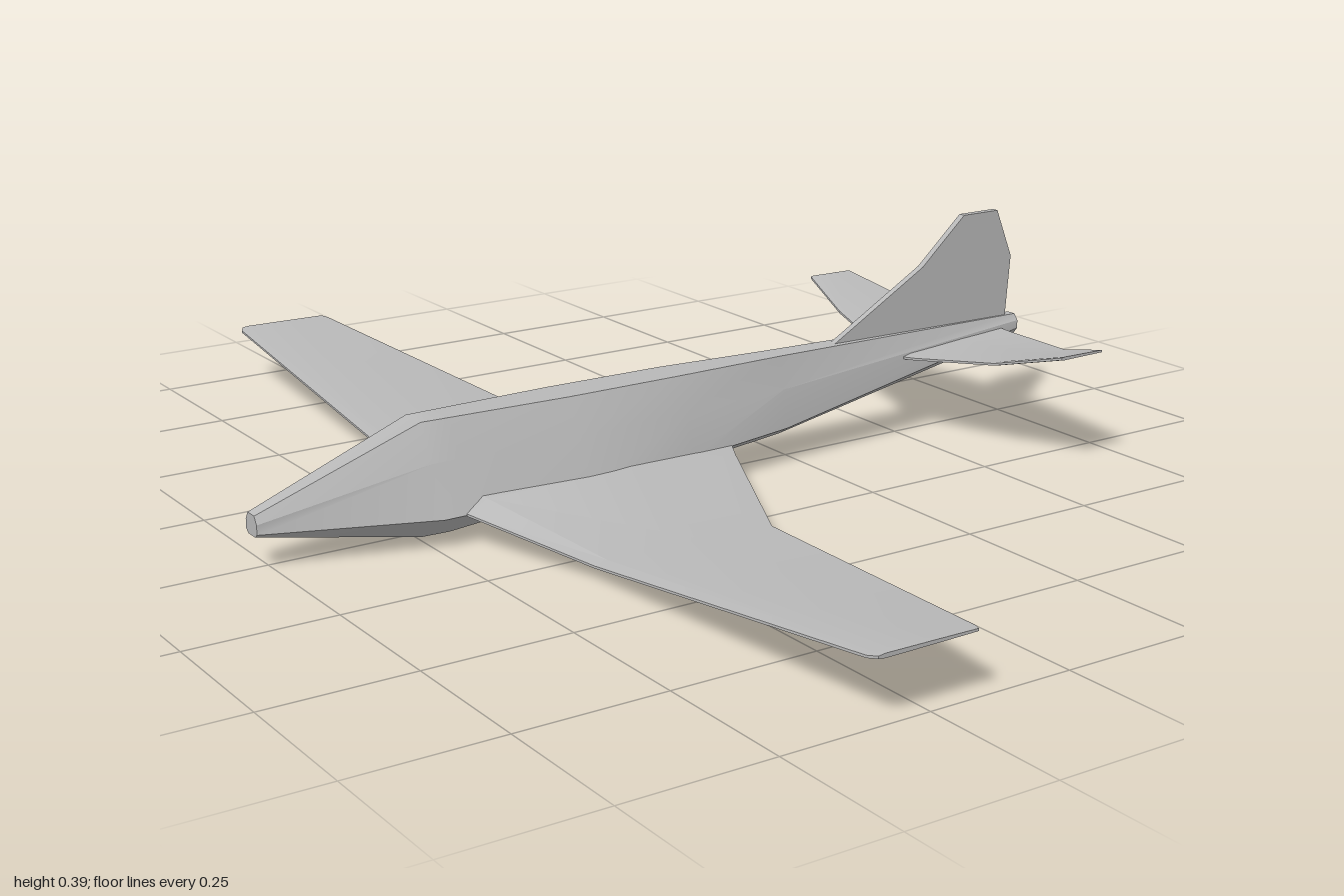
import * as THREE from 'three';
import { toCreasedNormals } from 'three/addons/utils/BufferGeometryUtils.js';

// Skin a list of equal-length rings of [x, y, z] points, with end caps.
function loft(rings, flip = false, crease = 0.5) {
  const n = rings[0].length, last = (rings.length - 1) * n, index = [];
  const tri = (a, b, c) => (flip ? index.push(a, c, b) : index.push(a, b, c));
  for (let i = 0; i < rings.length - 1; i++) {
    for (let j = 0; j < n; j++) {
      const a = i * n + j, b = i * n + ((j + 1) % n);
      tri(a, b, a + n);
      tri(b, b + n, a + n);
    }
  }
  for (let j = 1; j < n - 1; j++) {
    tri(0, j + 1, j);
    tri(last, last + j, last + j + 1);
  }
  const g = new THREE.BufferGeometry();
  g.setAttribute('position', new THREE.Float32BufferAttribute(rings.flat(2), 3));
  g.setIndex(index);
  return toCreasedNormals(g, crease);
}

// Fuselage ring: half outline from top to bottom, mirrored across z.
function bodyRing([x, yTop, wTop, yMid, wMid, ySide, wSide, yLow, wLow]) {
  const half = [[wTop, yTop], [wMid, yMid], [wSide, ySide], [wLow, yLow]];
  return [
    ...half.map(([z, y]) => [x, y, z]),
    ...half.slice().reverse().map(([z, y]) => [x, y, -z]),
  ];
}

// Aerofoil ring: front/rear x and y, thickness t, thickest just behind the leading edge.
function foilRing([z, xF, yF, xR, yR, t], side) {
  const at = (k) => [xF + (xR - xF) * k, yF + (yR - yF) * k];
  const [xa, ya] = at(0.07), [xb, yb] = at(0.6);
  const e = 0.002;
  return [
    [xR, yR + e], [xb, yb + t * 0.4], [xa, ya + t / 2], [xF, yF + e],
    [xF, yF - e], [xa, ya - t / 2], [xb, yb - t * 0.4], [xR, yR - e],
  ].map(([x, y]) => [x, y, z * side]);
}

export function createModel() {
  const model = new THREE.Group();
  model.name = 'aircraft';
  const grey = new THREE.MeshStandardMaterial({ color: 0xb8b8b8 });
  grey.name = 'grey';
  const add = (name, geometry) => {
    const mesh = new THREE.Mesh(geometry, grey);
    mesh.name = name;
    model.add(mesh);
    return mesh;
  };

  // Fuselage, nose towards -x
  const sections = [
    [-0.775, 0.095, 0.012, 0.082, 0.02, 0.066, 0.02, 0.06, 0.012],
    [-0.49, 0.2, 0.025, 0.14, 0.06, 0.058, 0.1, 0.006, 0.02],
    [-0.44, 0.2, 0.027, 0.14, 0.06, 0.058, 0.099, 0.006, 0.022],
    [-0.22, 0.2, 0.035, 0.14, 0.065, 0.062, 0.106, 0.028, 0.03],
    [0.0, 0.2, 0.033, 0.14, 0.055, 0.066, 0.079, 0.037, 0.028],
    [0.22, 0.198, 0.022, 0.14, 0.034, 0.072, 0.045, 0.056, 0.02],
    [0.775, 0.192, 0.009, 0.181, 0.018, 0.166, 0.018, 0.155, 0.009],
  ];
  add('fuselage', loft(sections.map(bodyRing)));

  // Cranked wings and upswept tailplanes: [z, xFront, yFront, xRear, yRear, thickness]
  const wing = [
    [0.04, -0.465, 0.062, 0.1, 0.07, 0.05],
    [0.1, -0.45, 0.058, 0.07, 0.064, 0.042],
    [0.345, -0.367, 0.03, -0.032, 0.028, 0.014],
    [0.985, -0.35, 0.103, -0.163, 0.103, 0.009],
    [1.0, -0.342, 0.105, -0.17, 0.105, 0.007],
  ];
  const tailplane = [
    [0.0, 0.486, 0.151, 0.735, 0.17, 0.01],
    [0.05, 0.5, 0.155, 0.731, 0.17, 0.009],
    [0.22, 0.539, 0.179, 0.706, 0.179, 0.007],
    [0.355, 0.572, 0.215, 0.666, 0.215, 0.006],
  ];
  for (const [label, side] of [['left', -1], ['right', 1]]) {
    for (const [part, rows] of [['Wing', wing], ['Tailplane', tailplane]]) {
      add(label + part, loft(rows.map((r) => foilRing(r, side)), side < 0));
    }
  }

  // Vertical fin
  const outline = [
    [0.35, 0.195], [0.55, 0.31], [0.645, 0.395], [0.725, 0.395],
    [0.762, 0.305], [0.752, 0.18], [0.6, 0.175],
  ].map(([x, y]) => new THREE.Vector2(x, y));
  const fin = new THREE.ExtrudeGeometry(new THREE.Shape(outline), { depth: 0.013, bevelEnabled: false });
  fin.translate(0, 0, -0.0065);
  add('fin', fin);

  return model;
}
